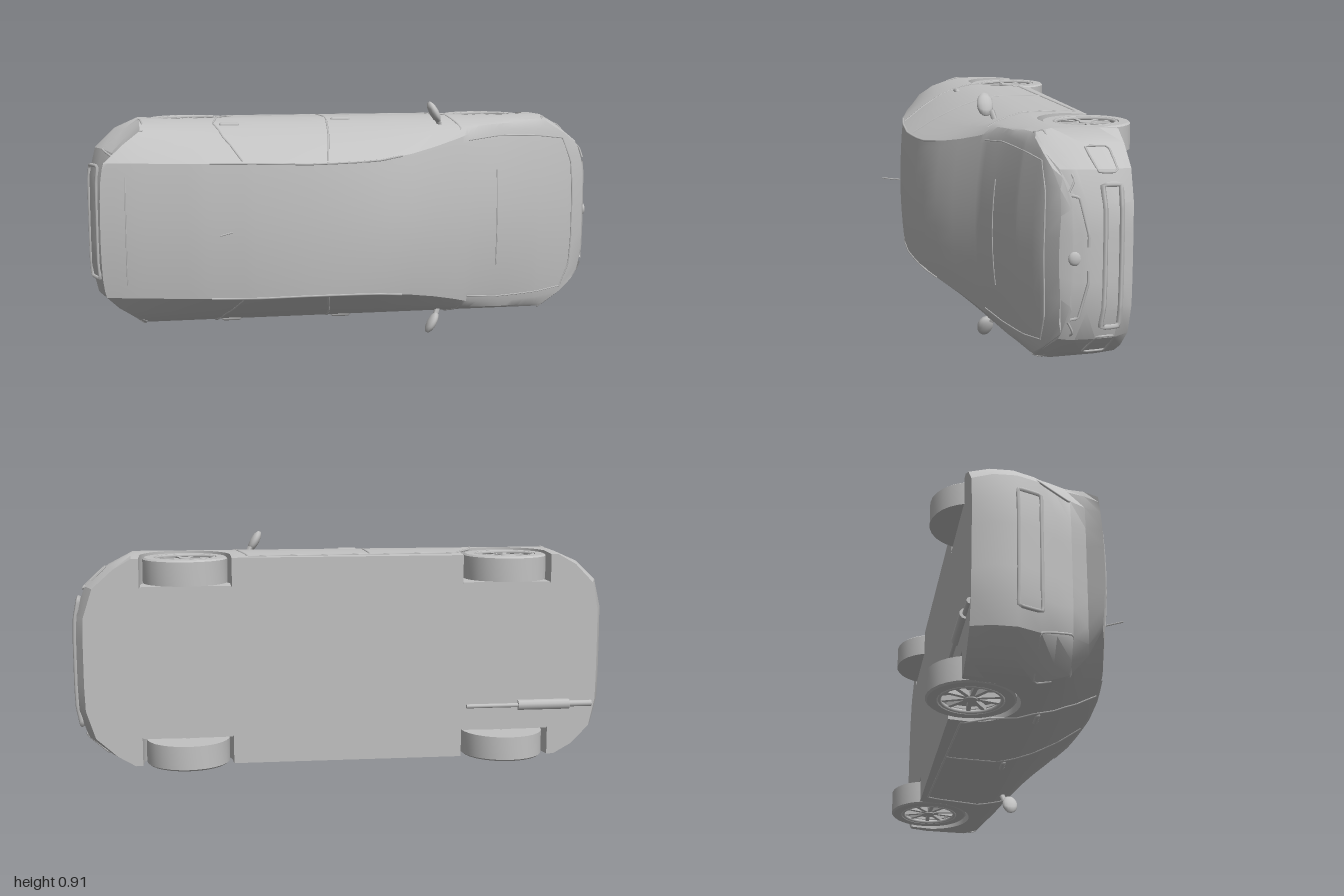
import * as THREE from 'three';
import { toCreasedNormals, mergeVertices } from 'three/addons/utils/BufferGeometryUtils.js';

const paint = new THREE.MeshStandardMaterial({ color: 0xc2c2c2 });
paint.name = 'light grey';

// Piecewise linear lookup in rows of [key, v1, v2, ...]
function look(table, key, col = 1) {
  if (key <= table[0][0]) return table[0][col];
  for (let i = 1; i < table.length; i++) {
    const a = table[i - 1], b = table[i];
    if (key <= b[0]) return a[col] + (b[col] - a[col]) * (key - a[0]) / (b[0] - a[0]);
  }
  return table[table.length - 1][col];
}

// Car built with x forward, y up, z sideways
// x, centre height, roof/bonnet edge height, edge half width, belt height
const PROFILE = [
  [-1, .17, .155, .25, .08], [-.85, .213, .198, .25, .09], [-.6, .27, .255, .25, .1],
  [-.4, .3, .285, .25, .1], [-.18, .313, .3, .245, .1], [.05, .3, .282, .25, .1],
  [.2, .256, .23, .27, .1], [.35, .188, .16, .3, .09], [.45, .148, .115, .33, .075],
  [.58, .118, .08, .345, .06], [.75, .08, .05, .34, .03], [.9, .032, .01, .32, 0], [1, -.03, -.05, .3, -.05],
];
const WIDTH = [[-.26, .385], [-.2, .391], [-.03, .394], [.05, .375], [.13, .345], [.2, .31], [.3, .25]];
const NOSE = [[-.26, .965], [-.22, .995], [-.1, 1], [-.04, .985], [.02, .95]];
const TAIL = [[-.26, -.965], [-.21, -.995], [-.1, -1], [-.05, -.985], [0, -.95], [.08, -.9], [.13, -.905], [.165, -.95], [.2, -.965]];
const FLOOR = -.26, AXLE_Y = -.205, WHEEL_R = .155, ARCH_R = .168, AXLES = [-.61, .59];
const TOP_ROW = 7;

function archY(x) {
  let y = FLOOR;
  for (const c of AXLES) {
    const d = Math.abs(x - c);
    if (d < ARCH_R) y = Math.max(y, AXLE_Y + Math.sqrt(ARCH_R * ARCH_R - d * d));
  }
  return y;
}

// Height and half width of a side row: 0 is the sill, 7 the roof edge
function row(x, j) {
  const edge = look(PROFILE, x, 2), belt = Math.min(look(PROFILE, x, 4), edge - .01);
  const wide = Math.min(-.03, belt - .04), sill = archY(x);
  const y = [sill, sill + (wide - sill) * .3, sill + (wide - sill) * .65, wide,
    (wide + belt) / 2, belt, (belt + edge) / 2, edge][j];
  const e = look(PROFILE, x, 3), wb = look(WIDTH, belt);
  const w = j === TOP_ROW ? e : j === 6 ? (wb + e) / 2 + .008 : look(WIDTH, y);
  return [y, w];
}

// Point on the body; f runs from 1 to -1 across the car, ends curve in plan
function point(xn, j, f) {
  let x = xn, y, w;
  for (let n = 0; n < 5; n++) {
    const r = row(x, j);
    const rise = (look(PROFILE, x, 1) - r[0]) * (1 - f * f);
    y = r[0] + (j === TOP_ROW ? rise : 0);
    w = r[1] * f;
    const k = Math.abs(w) / .395;
    if (xn > .77) {
      const lim = Math.max(look(NOSE, y) - .22 * k ** 5, .785);
      x = .77 + (xn - .77) / .23 * (lim - .77);
    } else if (xn < -.79) {
      const lim = Math.min(look(TAIL, y) + .2 * k ** 6, -.805);
      x = -.79 - (xn + .79) / .21 * (lim + .79);
    }
  }
  return [x, y, w];
}

function bodyGeometry() {
  const half = [1, .9, .72, .45, .2];
  const F = [...half, 0, ...half.map(f => -f).reverse()];
  const xs = [-1, -.97, -.93, -.88, -.83, -.79];
  for (let x = -.4; x < .41; x += .1) xs.push(x);
  for (const c of AXLES) for (let i = 0; i <= 16; i++) xs.push(c - ARCH_R * Math.cos(i / 16 * Math.PI) * 1.002);
  xs.push(.77, .82, .87, .92, .96, 1);
  xs.sort((a, b) => a - b);
  const pos = [];
  const quad = (a, b, c, d) => pos.push(...a, ...b, ...c, ...a, ...c, ...d);
  // Flat floor with wheel wells cut in at both sides
  const under = (x, f, well) => {
    const p = point(x, 0, f);
    return well ? p : [p[0], FLOOR, p[2]];
  };
  const rings = xs.map(x => {
    const r = [];
    for (const f of [0, .2, .45, .72]) r.push(under(x, f, false));
    for (const f of [.72, .9]) r.push(under(x, f, true));
    for (let j = 0; j < TOP_ROW; j++) r.push(point(x, j, 1));
    for (const f of F) r.push(point(x, TOP_ROW, f));
    for (let j = TOP_ROW - 1; j >= 0; j--) r.push(point(x, j, -1));
    for (const f of [-.9, -.72]) r.push(under(x, f, true));
    for (const f of [-.72, -.45, -.2, 0]) r.push(under(x, f, false));
    return r;
  });
  for (let i = 0; i + 1 < rings.length; i++)
    for (let k = 0; k + 1 < rings[i].length; k++)
      quad(rings[i][k], rings[i + 1][k], rings[i + 1][k + 1], rings[i][k + 1]);
  // Curved nose and tail
  for (const end of [1, -1])
    for (let j = 0; j < TOP_ROW; j++)
      for (let k = 0; k + 1 < F.length; k++) {
        const q = [point(end, j, F[k]), point(end, j, F[k + 1]), point(end, j + 1, F[k + 1]), point(end, j + 1, F[k])];
        quad(...(end > 0 ? q : q.reverse()));
      }
  const g = new THREE.BufferGeometry();
  g.setAttribute('position', new THREE.Float32BufferAttribute(pos, 3));
  return toCreasedNormals(mergeVertices(g, 1e-4), .5);
}

// Half width of the side at a given x and height
function sideW(x, y) {
  const rows = [];
  for (let j = 0; j <= TOP_ROW; j++) rows.push(row(x, j));
  return look(rows, y);
}

export function createModel() {
  const model = new THREE.Group();
  const car = new THREE.Group();
  car.name = 'car';
  car.rotation.x = Math.PI / 2;
  car.position.y = .46;
  model.add(car);
  const add = (name, geo, parent = car) => {
    const m = new THREE.Mesh(geo, paint);
    m.name = name;
    parent.add(m);
    return m;
  };
  const line = (name, pts, r = .004, closed = false) => {
    const path = new THREE.CatmullRomCurve3(pts.map(p => new THREE.Vector3(...p)), closed, 'catmullrom', .1);
    return add(name, new THREE.TubeGeometry(path, pts.length * 5, r, 5, closed));
  };

  add('body', bodyGeometry());

  // Door seams, sampled along the side surface
  const doors = [
    [[.36, -.235], [.39, -.06], [.425, .105]],
    [[-.095, -.225], [-.09, 0], [-.105, .15], [-.13, .285]],
    [[.36, -.235], [-.42, -.215], [-.49, -.12], [-.53, .03], [-.5, .14], [-.44, .27]],
  ];
  for (const s of [1, -1]) {
    for (const d of doors) {
      const pts = [];
      for (let i = 0; i + 1 < d.length; i++)
        for (let k = 0; k < 6; k++) {
          const x = d[i][0] + (d[i + 1][0] - d[i][0]) * k / 5, y = d[i][1] + (d[i + 1][1] - d[i][1]) * k / 5;
          if (k || !i) pts.push([x, y, s * sideW(x, y)]);
        }
      line('doorSeam', pts);
    }
    // Roof rail seam and bonnet side seam
    const along = (a, b, f) => Array.from({ length: 9 }, (_, i) => point(a + (b - a) * i / 8, TOP_ROW, f * s));
    line('roofSeam', along(-.56, .16, 1));
    line('bonnetSeam', along(.45, .95, .93), .003);
    // Headlamp and tail lamp outlines
    line('headlampEdge', [point(.8, 5, s), point(.9, 5, s), point(1, 4, s), point(1, 4, s * .65), point(1, 6, s * .6)]);
    line('tailLampEdge', [point(-.84, 5, s), point(-1, 5, s), point(-1, 5, s * .7), point(-1, 3, s * .72), point(-1, 3, s), point(-.84, 4, s)]);
    // Slim grille wing and outer bumper vent
    line('grilleWing', [point(1, 3, s * .1), point(1, 3, s * .2), point(1, 4, s * .5), point(1, 5, s * .52)], .005);
    line('bumperVent', [point(1, 2, s * .7), point(1, 2, s * .88), point(1, 1, s * .88), point(1, 1, s * .7)], .004, true);

    // Door handles
    for (const [x, y] of [[-.47, .045], [-.035, 0]]) {
      const h = add('doorHandle', new THREE.CapsuleGeometry(.011, .055, 3, 8));
      h.rotation.z = Math.PI / 2 + .06;
      h.position.set(x, y, s * (sideW(x, y) - .002));
    }
    // Door mirror: tapered shell on a short arm
    const shell = new THREE.SphereGeometry(1, 10, 8);
    shell.scale(.018, .03, .046);
    const mirror = add('mirror', shell);
    mirror.position.set(.317, .092, s * .416);
    mirror.rotation.y = -s * .5;
    line('mirrorArm', [[.352, .06, s * .355], [.335, .072, s * .395]], .011);
  }
  const across = (x, j, a) => [-1, -.7, -.35, 0, .35, .7, 1].map(f => point(x, j, f * a));
  line('windscreenBase', across(.57, TOP_ROW, .55), .003);
  line('bonnetFront', across(.95, TOP_ROW, .93), .003);
  line('hatchSeam', across(-.88, TOP_ROW, .8), .003);

  // Raised frames of the front intake and the rear plate recess
  const frame = (name, end, a, lo, hi, r) => line(name,
    [...across(end, lo, a), ...across(end, hi, a).reverse()], r, true);
  frame('frontIntakeFrame', 1, .6, 1, 2, .009);
  frame('rearPlateFrame', -1, .55, 2, 3, .007);
  const boss = add('noseBoss', new THREE.SphereGeometry(.024, 12, 8));
  boss.scale.set(.5, 1, 1.1);
  boss.position.set(.985, -.06, 0);

  // Wheels: tyre, recessed rim disc, hub and five split spokes
  const tyreShape = [[.108, .028], [.116, .046], [.148, .046], [WHEEL_R, .04], [WHEEL_R, -.047], [.02, -.047]]
    .map(p => new THREE.Vector2(...p)).reverse();
  const tyreGeo = toCreasedNormals(new THREE.LatheGeometry(tyreShape, 28), .5);
  const discGeo = new THREE.CylinderGeometry(.112, .112, .03, 28);
  const ringGeo = new THREE.TorusGeometry(.107, .007, 6, 28);
  const hubGeo = new THREE.CylinderGeometry(.022, .028, .03, 12);
  const spokeGeo = new THREE.BoxGeometry(.09, .014, .018);
  for (const x of AXLES) for (const s of [1, -1]) {
    const wheel = new THREE.Group();
    wheel.name = 'wheel';
    wheel.position.set(x, AXLE_Y, s * .34);
    wheel.rotation.y = s > 0 ? 0 : Math.PI;
    car.add(wheel);
    add('tyre', tyreGeo, wheel).rotation.x = Math.PI / 2;
    const disc = add('rimDisc', discGeo, wheel);
    disc.rotation.x = Math.PI / 2;
    disc.position.z = .002;
    add('rimRing', ringGeo, wheel).position.z = .04;
    const hub = add('hub', hubGeo, wheel);
    hub.rotation.x = Math.PI / 2;
    hub.position.z = .028;
    for (let i = 0; i < 10; i++) {
      const a = Math.floor(i / 2) * Math.PI * .4 + Math.PI / 2 + (i % 2 ? .26 : -.26);
      const spoke = add('spoke', spokeGeo, wheel);
      spoke.position.set(Math.cos(a) * .062, Math.sin(a) * .062, .03);
      spoke.rotation.z = a;
    }
  }

  // Exhaust along the underside and roof aerial
  const rod = (name, x0, x1, r, y) => {
    const m = add(name, new THREE.CylinderGeometry(r, r, x1 - x0, 10));
    m.rotation.z = Math.PI / 2;
    m.position.set((x0 + x1) / 2, y, .19);
  };
  rod('exhaustPipe', -.68, -.46, .008, -.266);
  rod('muffler', -.86, -.66, .02, -.262);
  rod('tailPipe', -.95, -.85, .012, -.26);
  line('aerial', [[-.48, .285, 0], [-.535, .358, 0]], .003);
  return model;
}
